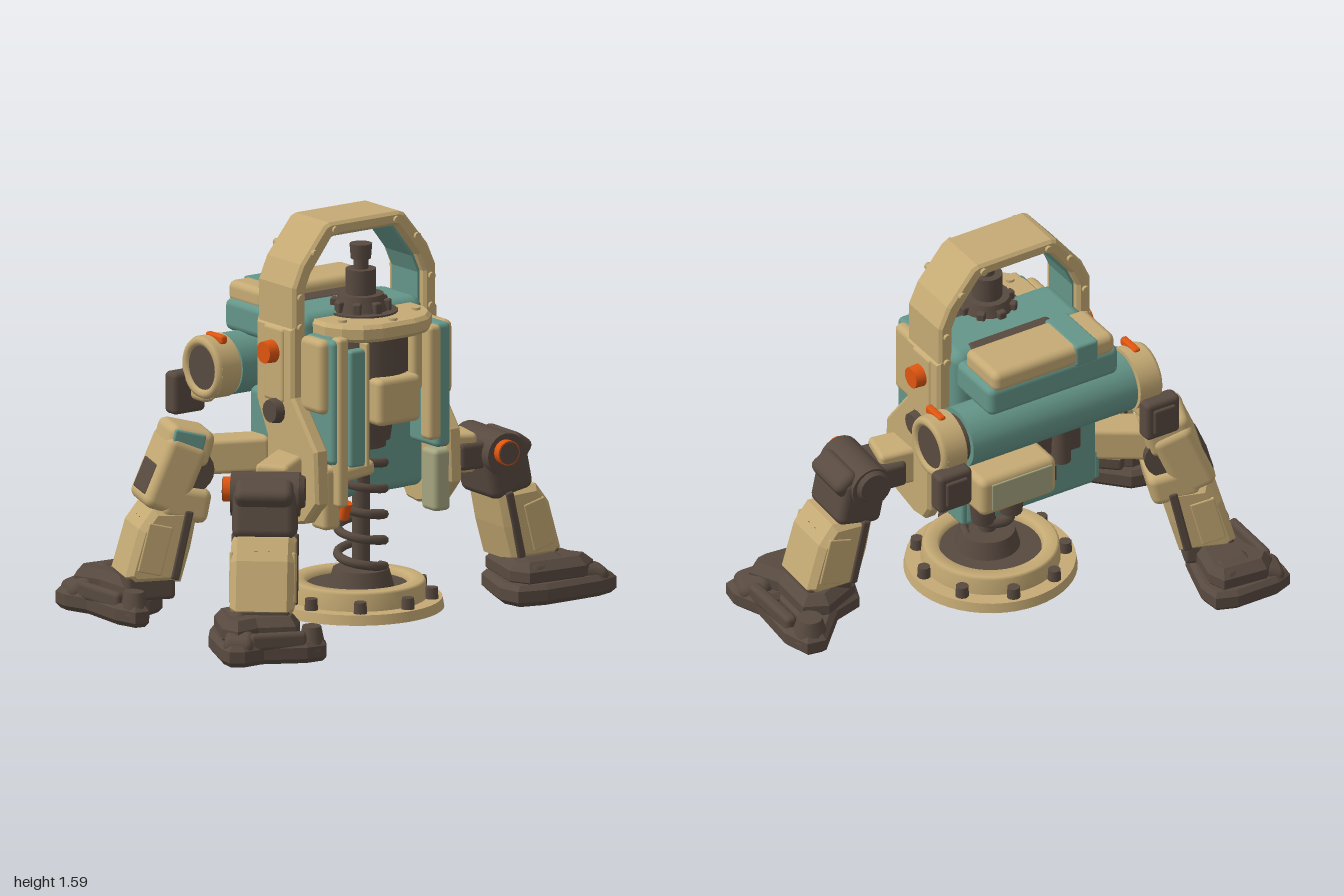
import * as THREE from 'three';
import { RoundedBoxGeometry } from 'three/addons/geometries/RoundedBoxGeometry.js';

const mat = (name, color) => Object.assign(new THREE.MeshStandardMaterial({ color }), { name });
const SAND = mat('sand', 0xc5aa74), TEAL = mat('teal', 0x659689), BROWN = mat('dark brown', 0x584a40);
const ORANGE = mat('orange', 0xe05510), SAGE = mat('sage', 0xa5a680);
const PI = Math.PI;

function add(parent, name, geo, material, pos = [0, 0, 0], rot = [0, 0, 0]) {
  const m = new THREE.Mesh(geo, material);
  m.name = name;
  m.position.set(...pos);
  m.rotation.set(...rot);
  parent.add(m);
  return m;
}
const box = (p, name, material, size, pos, rot, r = 0.02) =>
  add(p, name, new RoundedBoxGeometry(...size, 2, Math.min(r, Math.min(...size) * 0.45)), material, pos, rot);
const cyl = (p, name, material, rt, rb, h, pos, rot, seg = 24) =>
  add(p, name, new THREE.CylinderGeometry(rt, rb, h, seg), material, pos, rot);

// bevelled prism centred on its depth
function prism(pts, depth, bevel = 0.012, hole) {
  const toV = a => a.map(q => new THREE.Vector2(...q));
  const s = new THREE.Shape(toV(pts));
  if (hole) s.holes.push(new THREE.Path(toV(hole)));
  const g = new THREE.ExtrudeGeometry(s, {
    depth: depth - 2 * bevel, bevelEnabled: bevel > 0, bevelThickness: bevel,
    bevelSize: bevel, bevelOffset: -bevel, bevelSegments: 1, steps: 1,
  });
  return g.translate(0, 0, bevel - depth / 2);
}
// outline given as [z, y], extruded along x
const sidePrism = (pts, d, b) => prism(pts.map(([z, y]) => [-z, y]), d, b).rotateY(PI / 2);
// outline given as [x, z], extruded along y
const flatPrism = (pts, d, b, hole) =>
  prism(pts.map(([x, z]) => [x, -z]), d, b, hole && hole.map(([x, z]) => [x, -z])).rotateX(-PI / 2);
// closed band between two half outlines mirrored in x
const flip = a => a.map(([x, y]) => [-x, y]).reverse();
const arch = (outer, inner, d, b) =>
  prism([...outer, ...flip(outer), ...flip(inner).reverse(), ...inner.slice().reverse()], d, b);

// rounded bar between two points
function link(p, name, material, a, b, w, h) {
  const A = new THREE.Vector3(...a), B = new THREE.Vector3(...b);
  const m = box(p, name, material, [w, h, A.distanceTo(B)], A.clone().add(B).multiplyScalar(0.5).toArray());
  m.lookAt(B);
}

// group on the ground whose +x points along (dx, dz)
function facing(name, [x, z], [dx, dz]) {
  const g = new THREE.Group();
  g.name = name;
  g.position.set(x, 0, z);
  g.rotation.y = Math.atan2(-dz, dx);
  return g;
}

function makeFoot(at, dir, sx, sz) {
  const g = facing('foot', at, dir);
  g.scale.set(sx, 1, sz);
  const sole = [[-0.24, 0.15], [-0.22, 0.25], [-0.1, 0.28], [0.16, 0.27], [0.25, 0.24], [0.26, 0.16], [0.21, 0.05],
    [0.22, -0.18], [0.18, -0.29], [0.1, -0.3], [0.03, -0.22], [-0.04, -0.14], [-0.16, -0.1], [-0.2, 0.02]];
  add(g, 'sole', flatPrism(sole, 0.085, 0.02, [[0.12, -0.13], [0.165, -0.13], [0.16, 0.04], [0.12, 0.04]]), BROWN, [0, 0.052, 0]);
  const upper = [[-0.2, 0.16], [-0.16, 0.24], [0.1, 0.25], [0.18, 0.18], [0.115, 0.06], [0.115, -0.14], [0.02, -0.18], [-0.14, -0.1]];
  add(g, 'footUpper', flatPrism(upper, 0.11, 0.035), BROWN, [0, 0.12, 0]);
  box(g, 'sideToe', BROWN, [0.22, 0.13, 0.13], [-0.05, 0.115, 0.165], [0.25, 0.1, 0], 0.045);
  box(g, 'frontToe', BROWN, [0.14, 0.09, 0.16], [0.165, 0.085, 0.17], [0, -0.3, -0.25], 0.04);
  cyl(g, 'heelKnob', BROWN, 0.05, 0.075, 0.09, [0.13, 0.1, -0.22], [0, 0, 0], 12);
  box(g, 'outerRail', BROWN, [0.05, 0.07, 0.3], [0.19, 0.1, -0.03], [0, 0.04, 0]);
  return g;
}

// leg in its own frame: +x points outward, origin on the ground under the ankle
function makeLeg(name, at, dir, plated) {
  const g = facing(name, at, dir);
  box(g, 'ankle', BROWN, [0.2, 0.12, 0.22], [-0.02, 0.15, 0]);
  // shin
  add(g, 'shin', prism([[-0.21, 0.45], [-0.03, 0.46], [0.03, 0.38], [0.085, 0.19], [0.05, 0.16], [-0.14, 0.16], [-0.18, 0.3]], 0.25, 0.025), SAND);
  for (const s of [-1, 1]) {
    box(g, 'shinStrut', BROWN, [0.035, 0.28, 0.02], [-0.14, 0.31, s * 0.122], [0, 0, 0.22]);
    box(g, 'shinPlate', SAND, [0.1, 0.2, 0.016], [-0.03, 0.3, s * 0.122], [0, 0, 0.25], 0.006);
    cyl(g, 'shinBolt', BROWN, 0.012, 0.012, 0.02, [0.0, 0.4, s * 0.025], [0, 0, -1.2], 8);
  }
  // knee
  box(g, 'knee', plated ? SAND : BROWN, [0.2, plated ? 0.14 : 0.2, 0.25], [-0.16, plated ? 0.47 : 0.53, 0], [0, 0, 0.2], 0.035);
  cyl(g, 'kneeHub', BROWN, 0.088, 0.088, plated ? 0.2 : 0.27, [-0.19, 0.6, 0], [PI / 2, 0, 0], 20);
  if (plated) {
    // armoured thigh
    box(g, 'thighPlate', SAND, [0.17, 0.3, 0.25], [-0.12, 0.58, 0], [0, 0, 0.4], 0.035);
    box(g, 'thighTop', SAND, [0.19, 0.15, 0.22], [-0.18, 0.695, 0], [0, 0, 0.25], 0.035);
    box(g, 'thighInset', BROWN, [0.02, 0.13, 0.17], [-0.03, 0.57, 0], [0, 0, 0.4]);
    box(g, 'thighPatch', TEAL, [0.13, 0.09, 0.02], [-0.17, 0.715, -0.105], [0, 0, 0.25], 0.008);
  } else {
    cyl(g, 'kneeRing', BROWN, 0.06, 0.075, 0.03, [-0.19, 0.61, -0.14], [-PI / 2, 0, 0], 16);
    cyl(g, 'kneeCap', ORANGE, 0.05, 0.05, 0.035, [-0.2, 0.615, 0.15], [PI / 2, 0, 0], 16);
    cyl(g, 'kneeLens', BROWN, 0.045, 0.045, 0.008, [-0.2, 0.615, 0.166], [PI / 2, 0, 0], 16);
    box(g, 'kneeGuard', BROWN, [0.11, 0.11, 0.23], [-0.11, 0.61, 0], [0, 0, -0.6], 0.03);
  }
  return g;
}

export function createModel() {
  const model = new THREE.Group();
  model.name = 'springThumper';
  const part = n => { const g = new THREE.Group(); g.name = n; model.add(g); return g; };

  // body core
  const body = part('body');
  box(body, 'upperBody', TEAL, [0.61, 0.42, 0.28], [0, 1.03, -0.03], undefined, 0.05);
  box(body, 'lowerBody', TEAL, [0.61, 0.43, 0.35], [0, 0.69, -0.07], undefined, 0.035);
  box(body, 'chinBlock', TEAL, [0.5, 0.2, 0.12], [0, 0.57, 0.02]);
  box(body, 'rearCore', BROWN, [0.38, 0.42, 0.14], [0.03, 1.035, -0.165]);
  box(body, 'rearRecess', BROWN, [0.44, 0.2, 0.02], [0, 0.78, -0.242], undefined, 0.008);
  box(body, 'rearSlot', BROWN, [0.16, 0.07, 0.01], [-0.03, 0.6, -0.245], undefined, 0.004);

  // roll hoop and side frames
  const frame = part('frame');
  const outer = [[0.35, 0.85], [0.35, 1.36], [0.31, 1.45], [0.195, 1.59], [0.17, 1.6]];
  const inner = [[0.29, 0.85], [0.29, 1.34], [0.26, 1.41], [0.16, 1.54], [0.14, 1.545]];
  add(frame, 'hoop', arch(outer, inner, 0.24, 0.012), SAND);
  add(frame, 'hoopLining', arch(inner, inner.map(([x, y]) => [x - 0.008, y - 0.008]), 0.17, 0), TEAL);
  const side = [[0.12, 1.2], [0.12, 0.92], [0.27, 0.73], [0.28, 0.52], [0.2, 0.43], [0.06, 0.4], [-0.01, 0.41],
    [-0.05, 0.47], [-0.05, 0.74], [-0.12, 0.88], [-0.12, 1.2]];
  for (const s of [-1, 1]) {
    add(frame, 'sideFrame', sidePrism(side, 0.065, 0.012), SAND, [s * 0.325, 0, 0]);
    box(frame, 'sideRib', SAND, [0.03, 0.3, 0.13], [s * 0.35, 1.04, 0]);
    cyl(frame, 'sideButton', ORANGE, 0.043, 0.046, 0.05, [s * 0.385, 1.09, 0], [0, 0, -s * PI / 2], 20);
    cyl(frame, 'sideKnob', BROWN, 0.045, 0.055, 0.05, [s * 0.37, 0.855, 0.02], [0, 0, -s * PI / 2], 12);
    box(frame, 'sidePanel', TEAL, [0.03, 0.14, 0.15], [s * 0.305, 0.56, -0.16]);
    for (const z of [-0.12, 0.12]) for (const [x, y] of [[0.32, 1.32], [0.32, 1.2], [0.25, 1.49], [0.15, 1.57]])
      cyl(frame, 'hoopBolt', SAND, 0.015, 0.015, 0.025, [s * x, y, z], [PI / 2, 0, 0], 8);
    cyl(frame, 'lowerCatch', ORANGE, 0.024, 0.02, 0.07, [s * 0.145, 0.45, s * -0.13 + 0.05], [0.3, 0, 0], 10);
    // front cheeks
    box(frame, 'cheek', SAND, [0.06, 0.3, 0.15], [s * 0.295, 1.02, 0.19], undefined, 0.03);
    box(frame, 'cheekLiner', TEAL, [0.07, 0.5, 0.19], [s * 0.255, 0.92, 0.2]);
    box(frame, 'railFoot', s > 0 ? SAGE : SAND, [0.08, 0.25, 0.1], [s * 0.27, 0.53, 0.22]);
  }
  box(frame, 'sideLatch', ORANGE, [0.05, 0.06, 0.07], [0.35, 0.84, -0.13], [0.5, 0, 0]);
  box(frame, 'leftPost', SAND, [0.06, 0.46, 0.07], [0.2, 0.94, 0.28], undefined, 0.018);
  box(frame, 'rightPost', SAND, [0.05, 0.68, 0.06], [-0.245, 0.84, 0.28], undefined, 0.015);
  box(frame, 'frontStrip', TEAL, [0.075, 0.47, 0.05], [-0.18, 0.89, 0.29], undefined, 0.012);
  box(frame, 'stripEdge', SAND, [0.016, 0.5, 0.05], [-0.14, 0.9, 0.3], undefined, 0.006);
  box(frame, 'frontStep', SAND, [0.16, 0.06, 0.08], [-0.17, 0.635, 0.27], [0, 0, 0.1]);

  // drum housing around the piston
  const drum = part('drumHousing');
  const plate = [[0.25, -0.05], [0.25, 0.19], [0.22, 0.26], [0.16, 0.32], [0.08, 0.345]];
  add(drum, 'topPlate', flatPrism([...plate, ...flip(plate)], 0.07, 0.015), SAND, [0, 1.185, 0]);
  cyl(drum, 'topWell', BROWN, 0.14, 0.14, 0.01, [0, 1.222, 0.1]);
  cyl(drum, 'drum', BROWN, 0.15, 0.15, 0.36, [0, 0.99, 0.15]);
  box(drum, 'frontBracket', SAND, [0.21, 0.19, 0.1], [0.01, 0.9, 0.29], undefined, 0.025);
  box(drum, 'bracketStem', SAND, [0.05, 0.26, 0.05], [0.115, 1.05, 0.29]);
  cyl(drum, 'lowerRing', BROWN, 0.125, 0.11, 0.1, [0, 0.76, 0.1]);
  cyl(drum, 'springCollar', BROWN, 0.1, 0.1, 0.04, [0, 0.7, 0.09]);
  for (const x of [-0.18, 0, 0.18]) cyl(drum, 'plateBolt', SAND, 0.018, 0.018, 0.03, [x, 1.215, 0.3 - Math.abs(x) * 0.5], undefined, 8);

  // piston, spring and ground plate
  const ram = part('springRam');
  ram.position.z = 0.09;
  cyl(ram, 'rod', BROWN, 0.035, 0.035, 0.65, [0, 0.45, 0]);
  cyl(ram, 'hub', BROWN, 0.09, 0.115, 0.08, [0, 1.25, 0], undefined, 16);
  for (let i = 0; i < 8; i++) {
    const a = (i * PI) / 4;
    box(ram, 'hubTooth', BROWN, [0.035, 0.06, 0.04], [0.1 * Math.sin(a), 1.24, 0.1 * Math.cos(a)], [0, a, 0], 0.008);
  }
  cyl(ram, 'piston', BROWN, 0.06, 0.06, 0.12, [0, 1.33, 0]);
  cyl(ram, 'pistonNeck', BROWN, 0.03, 0.03, 0.07, [0, 1.41, 0], undefined, 16);
  cyl(ram, 'pistonCap', BROWN, 0.045, 0.04, 0.06, [0, 1.46, 0], undefined, 12);
  const coil = [];
  for (let i = 0; i <= 80; i++) {
    const a = (i / 80) * PI * 10;
    coil.push(new THREE.Vector3(0.092 * Math.cos(a), 0.18 + (0.52 * i) / 80, 0.092 * Math.sin(a)));
  }
  add(ram, 'spring', new THREE.TubeGeometry(new THREE.CatmullRomCurve3(coil), 160, 0.018, 8), BROWN);
  const base = new THREE.Group();
  base.name = 'groundPlate';
  base.position.z = -0.025;
  ram.add(base);
  cyl(base, 'baseFlange', SAND, 0.335, 0.342, 0.04, [0, 0.045, 0], undefined, 48);
  const rim = [[0.275, 0.06], [0.27, 0.13], [0.26, 0.14], [0.21, 0.14], [0.2, 0.11], [0.2, 0.06]].map(q => new THREE.Vector2(...q));
  add(base, 'baseRim', new THREE.LatheGeometry(rim, 48), SAND);
  cyl(base, 'baseWell', BROWN, 0.2, 0.2, 0.05, [0, 0.09, 0], undefined, 36);
  cyl(base, 'springSeat', BROWN, 0.11, 0.13, 0.07, [0, 0.15, 0.025]);
  for (let i = 0; i < 9; i++) {
    const a = (i * 2 * PI) / 9 + 0.1;
    cyl(base, 'baseBolt', BROWN, 0.025, 0.028, 0.05, [0.295 * Math.sin(a), 0.085, 0.295 * Math.cos(a)], undefined, 10);
  }

  // rear barrel with saddle
  const rear = part('rearBarrel');
  rear.position.x = 0.02;
  const bz = -0.31, by = 0.98, X = [0, 0, PI / 2];
  cyl(rear, 'barrel', TEAL, 0.123, 0.123, 0.76, [-0.01, by, bz], X, 36);
  box(rear, 'saddleBase', TEAL, [0.6, 0.13, 0.26], [-0.02, 1.155, -0.28], undefined, 0.03);
  box(rear, 'saddle', SAND, [0.56, 0.09, 0.23], [-0.02, 1.243, -0.3], undefined, 0.03);
  box(rear, 'saddleStripe', TEAL, [0.105, 0.094, 0.236], [-0.165, 1.244, -0.3], undefined, 0.012);
  for (const s of [-1, 1]) {
    cyl(rear, 'barrelNeck', BROWN, 0.1, 0.1, 0.06, [s * 0.39, by, bz], X);
    cyl(rear, 'endCap', SAND, 0.127, 0.127, 0.09, [s * 0.445, by, bz], X, 32);
    add(rear, 'endRing', new THREE.TorusGeometry(0.106, 0.02, 8, 32), SAND, [s * 0.49, by, bz], [0, PI / 2, 0]);
    cyl(rear, 'endLens', BROWN, 0.088, 0.088, 0.02, [s * 0.486, by, bz], X, 28);
    box(rear, 'capTab', ORANGE, [0.03, 0.035, 0.11], [s * 0.45, 1.1, -0.28], undefined, 0.01);
    box(rear, 'capBracket', SAND, [0.06, 0.1, 0.1], [s * 0.45, 0.88, -0.37]);
    box(rear, 'gripBlock', BROWN, [0.155, 0.17, 0.075], [s * 0.48, 0.86, -0.445]);
    box(rear, 'gripPad', BROWN, [0.1, 0.11, 0.02], [s * 0.48, 0.86, -0.483]);
  }
  box(rear, 'rearLocker', SAND, [0.35, 0.17, 0.23], [0.17, 0.75, -0.34], undefined, 0.03);
  box(rear, 'lockerPanel', SAGE, [0.28, 0.12, 0.01], [0.16, 0.75, -0.455], undefined, 0.004);
  box(rear, 'lockerSticker', TEAL, [0.008, 0.075, 0.09], [0.346, 0.745, -0.3], undefined, 0.003);
  for (const x of [0.14, 0.27]) cyl(rear, 'lockerKnob', BROWN, 0.055, 0.045, 0.1, [x, 0.62, -0.34], undefined, 14);
  cyl(rear, 'drainTube', BROWN, 0.032, 0.04, 0.2, [-0.13, 0.78, -0.28], undefined, 14);

  // legs, feet and hip arms
  model.add(makeLeg('leftLeg', [0.745, 0.185], [1, 0.05], false));
  model.add(makeLeg('frontRightLeg', [-0.725, 0.415], [-0.65, 0.76], false));
  model.add(makeLeg('rearRightLeg', [-0.74, -0.37], [-0.93, -0.36], true));
  model.add(makeFoot([0.75, 0.19], [1, 0.05], 1, 1));
  model.add(makeFoot([-0.745, 0.46], [-0.45, 0.89], 0.85, 0.75));
  model.add(makeFoot([-0.75, -0.45], [-1, -0.05], 0.72, 0.92));
  const hips = part('hips');
  link(hips, 'leftHip', SAND, [0.3, 0.62, 0.13], [0.47, 0.61, 0.17], 0.16, 0.16);
  link(hips, 'leftHipPin', BROWN, [0.38, 0.6, 0.15], [0.56, 0.6, 0.17], 0.2, 0.11);
  link(hips, 'frontRightHip', SAND, [-0.3, 0.62, 0.06], [-0.52, 0.61, 0.2], 0.14, 0.16);
  link(hips, 'frontRightHipPin', BROWN, [-0.45, 0.6, 0.15], [-0.58, 0.6, 0.25], 0.16, 0.1);
  link(hips, 'rearRightHip', SAND, [-0.28, 0.65, -0.14], [-0.55, 0.64, -0.3], 0.14, 0.14);
  return model;
}
